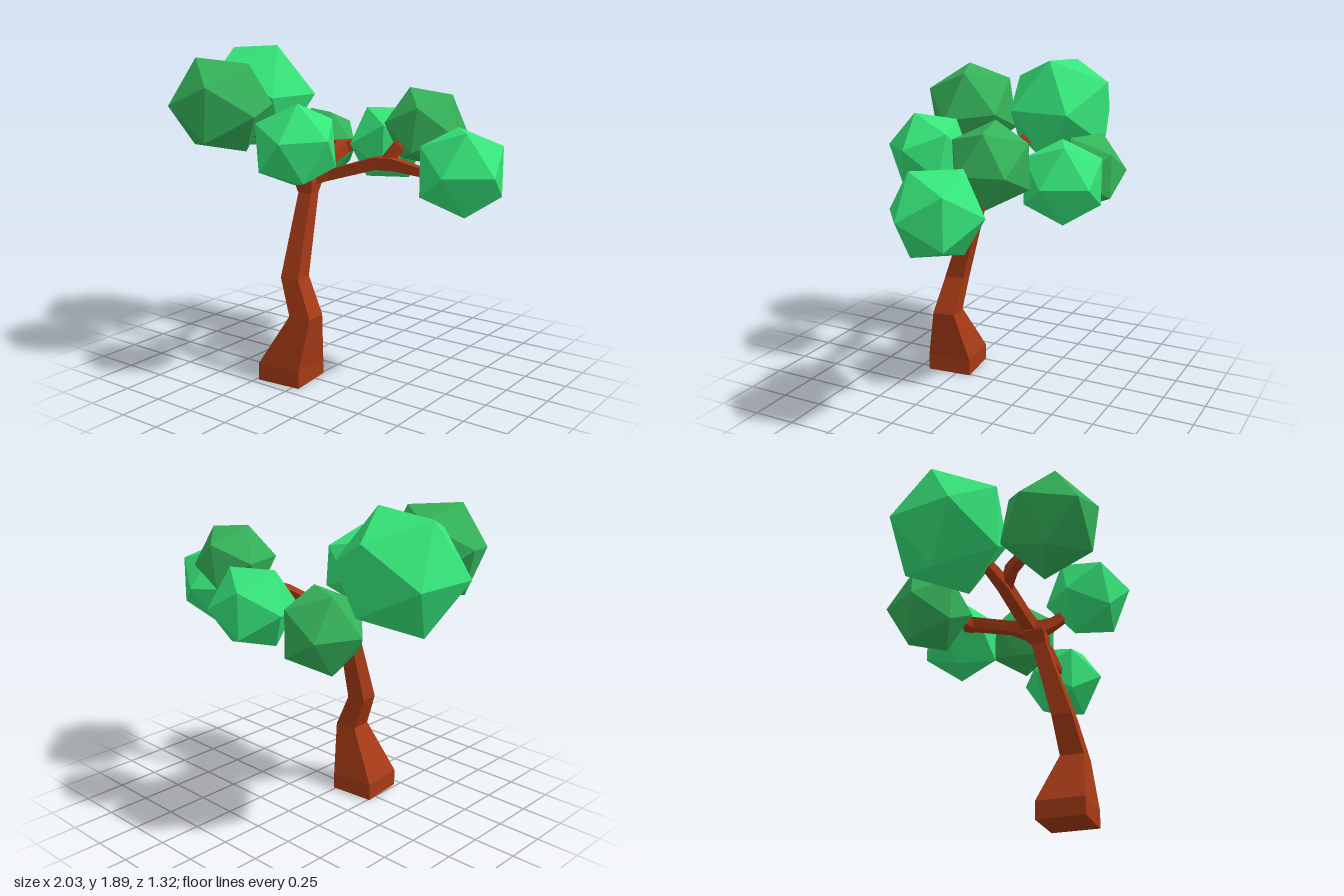
import * as THREE from 'three';

const bark = new THREE.MeshStandardMaterial({ color: 0xa63a16, flatShading: true });
const lightLeaf = new THREE.MeshStandardMaterial({ color: 0x36e67a, flatShading: true });
const darkLeaf = new THREE.MeshStandardMaterial({ color: 0x35b45a, flatShading: true });

// Four-sided limb swept through rings of [x, y, z, half width].
// Level rings stay horizontal, turned by the given angle; others follow the path.
function limb(name, rings, level = false, turn = 0) {
  const centres = rings.map(([x, y, z]) => new THREE.Vector3(x, y, z));
  const up = new THREE.Vector3(0, 1, 0);
  const loops = rings.map(([, , , half], i) => {
    const t = level ? up.clone() : centres[Math.min(i + 1, rings.length - 1)].clone()
      .sub(centres[Math.max(i - 1, 0)]).normalize();
    const u = level ? new THREE.Vector3(1, 0, 0).applyAxisAngle(up, turn)
      : t.clone().cross(up).normalize();
    const v = t.clone().cross(u);
    return [[1, 1], [-1, 1], [-1, -1], [1, -1]].map(([a, b]) =>
      centres[i].clone().addScaledVector(u, a * half).addScaledVector(v, b * half));
  });
  const points = [];
  const quad = (a, b, c, d) => points.push(a, b, c, a, c, d);
  for (let i = 0; i < loops.length - 1; i++) {
    for (let k = 0; k < 4; k++) {
      const n = (k + 1) % 4;
      quad(loops[i][k], loops[i][n], loops[i + 1][n], loops[i + 1][k]);
    }
  }
  const first = loops[0], last = loops[loops.length - 1];
  quad(first[3], first[2], first[1], first[0]);
  quad(last[0], last[1], last[2], last[3]);
  const geometry = new THREE.BufferGeometry().setFromPoints(points);
  geometry.computeVertexNormals();
  const mesh = new THREE.Mesh(geometry, bark);
  mesh.name = name;
  return mesh;
}

// Faceted ball of leaves
function foliage(name, position, radius, material, rx, ry, rz) {
  const mesh = new THREE.Mesh(new THREE.IcosahedronGeometry(radius, 0), material);
  mesh.name = name;
  mesh.position.set(...position);
  mesh.rotation.set(rx, ry, rz, 'YXZ');
  return mesh;
}

export function createModel() {
  const tree = new THREE.Group();
  tree.name = 'tree';

  // Crooked trunk with a swollen crown where the branches start
  tree.add(limb('trunk', [
    [-0.11, 0, 0.31, 0.136],
    [-0.11, 0.1, 0.31, 0.136],
    [0.003, 0.4, 0.313, 0.068],
    [-0.09, 0.61, 0.293, 0.058],
    [-0.095, 1.08, 0.155, 0.042],
    [-0.11, 1.15, 0.135, 0.062],
    [-0.11, 1.22, 0.125, 0.045],
  ], true, 0.1));

  // Branches and their forks
  const branches = new THREE.Group();
  branches.name = 'branches';
  branches.add(
    limb('rightBranch', [[-0.11, 1.17, 0.12, 0.045], [-0.2, 1.22, 0.105, 0.036],
      [-0.42, 1.33, 0.08, 0.034], [-0.55, 1.43, 0.02, 0.026]]),
    limb('rightFork', [[-0.4, 1.32, 0.08, 0.03], [-0.47, 1.39, 0.15, 0.03], [-0.5, 1.47, 0.27, 0.025]]),
    limb('leftBranch', [[-0.11, 1.16, 0.12, 0.045], [0, 1.18, 0.085, 0.03], [0.27, 1.265, 0.005, 0.035],
      [0.38, 1.268, -0.005, 0.034], [0.58, 1.235, -0.02, 0.022]]),
    limb('leftFork', [[0.32, 1.26, 0, 0.032], [0.38, 1.36, -0.05, 0.028], [0.41, 1.42, -0.12, 0.02]]),
    limb('backBranch', [[-0.11, 1.17, 0.12, 0.05], [-0.13, 1.22, -0.02, 0.032],
      [-0.155, 1.29, -0.27, 0.036], [-0.07, 1.31, -0.35, 0.025]]),
    limb('backFork', [[-0.14, 1.28, -0.25, 0.032], [-0.21, 1.29, -0.3, 0.028], [-0.3, 1.29, -0.34, 0.022]]),
    limb('frontBranch', [[-0.11, 1.17, 0.13, 0.045], [-0.07, 1.22, 0.23, 0.03], [-0.01, 1.32, 0.34, 0.025]]),
  );
  tree.add(branches);

  // Leaf clusters, alternating light and dark
  const leaves = new THREE.Group();
  leaves.name = 'leaves';
  leaves.add(
    foliage('rightBackLeaves', [-0.7, 1.575, -0.117], 0.36, lightLeaf, 0, -0.07, 0.06),
    foliage('rightFrontLeaves', [-0.52, 1.575, 0.41], 0.3, darkLeaf, 0.14, 0.38, -0.1),
    foliage('frontLeaves', [0.02, 1.39, 0.41], 0.25, lightLeaf, 0.03, -0.7, 0.2),
    foliage('backRightLeaves', [-0.425, 1.27, -0.4], 0.248, darkLeaf, 0, -0.44, 0),
    foliage('backLeaves', [0.05, 1.31, -0.453], 0.25, lightLeaf, 0, 0.44, 0),
    foliage('leftUpperLeaves', [0.455, 1.46, -0.22], 0.24, darkLeaf, 0, 0.21, -0.13),
    foliage('leftLeaves', [0.767, 1.255, -0.075], 0.264, lightLeaf, 0, -0.91, 0),
  );
  tree.add(leaves);
  return tree;
}
